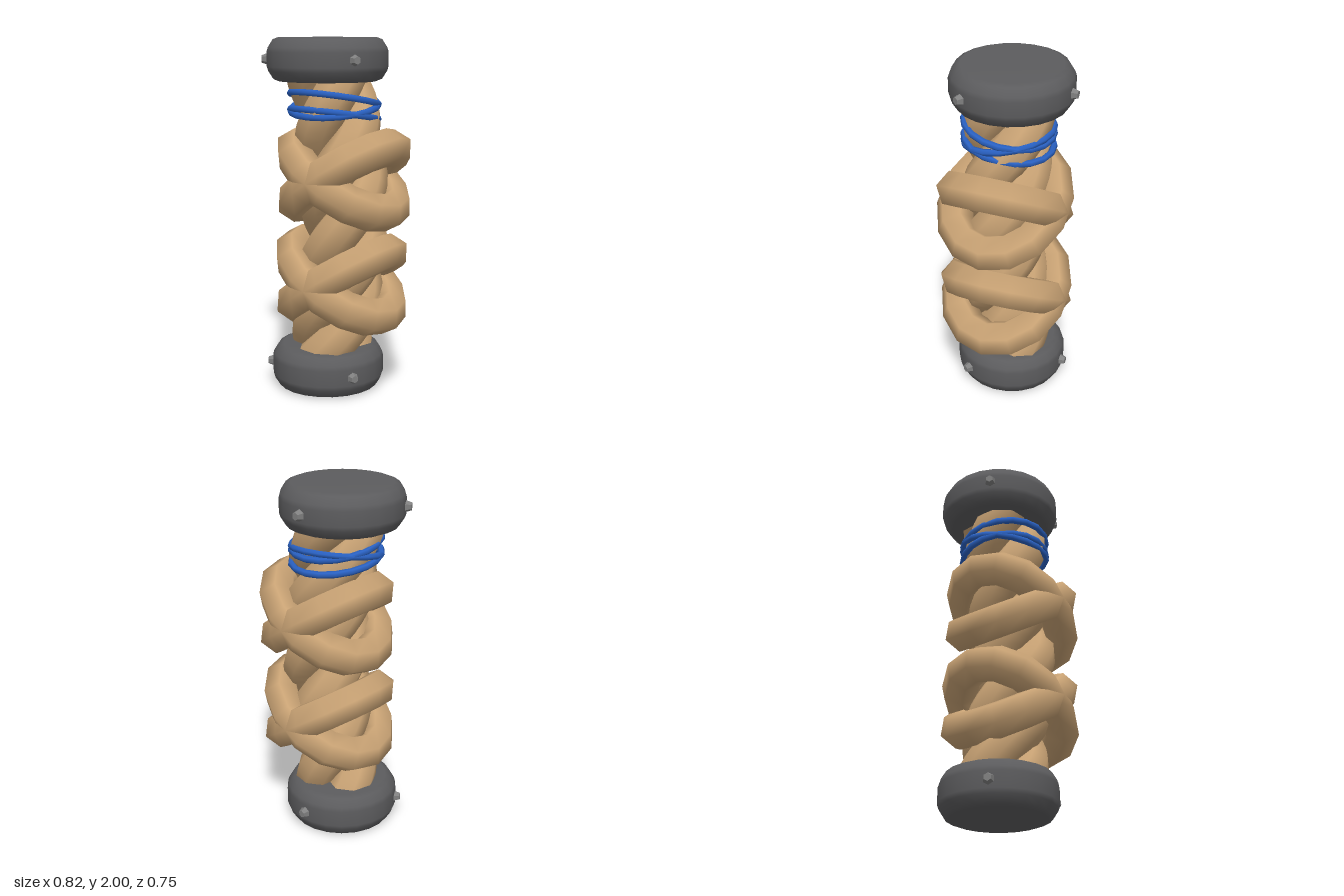
import * as THREE from 'three';

const mat = (color) => new THREE.MeshStandardMaterial({ color });
const rope = mat(0xc8a274), iron = mat(0x5c5c5e), steel = mat(0x808080), blue = mat(0x2a62c4);

// Gentle sideways bow of the whole bundle
const bow = (y) => -0.076 + 0.115 * Math.sin(Math.PI * (y - 0.12) / 1.76);

class Path extends THREE.Curve {
  constructor(fn) { super(); this.fn = fn; }
  getPoint(t, target = new THREE.Vector3()) { return target.set(...this.fn(t)); }
}

function add(parent, name, geometry, material) {
  const mesh = new THREE.Mesh(geometry, material);
  mesh.name = name;
  parent.add(mesh);
  return mesh;
}

// Rounded end cap with three bolts around its rim
function endCap(name, y, radius, height) {
  const cap = new THREE.Group();
  cap.name = name;
  cap.position.set(-0.075, y, 0);
  const h = height / 2, r = radius;
  const profile = [
    [0, -h], [r - 0.065, -h], [r - 0.035, -h + 0.012], [r - 0.008, -h + 0.055], [r, -h + 0.08],
    [r, h - 0.08], [r - 0.008, h - 0.055], [r - 0.035, h - 0.012], [r - 0.065, h], [0, h],
  ].map(([x, py]) => new THREE.Vector2(x, py));
  add(cap, name + 'Body', new THREE.LatheGeometry(profile, 22).rotateY(Math.PI / 2), iron);
  for (let i = 0; i < 3; i++) {
    const geo = new THREE.CylinderGeometry(0.021, 0.037, 0.045, 6).rotateX(Math.PI / 2);
    const flat = mat(0x808080);
    flat.flatShading = true;
    const bolt = add(cap, name + 'Bolt', geo, flat);
    const a = Math.PI + i * Math.PI * 2 / 3;
    bolt.rotation.y = a;
    bolt.position.set(Math.sin(a) * (r + 0.006), 0, Math.cos(a) * (r + 0.006));
  }
  return cap;
}

// Oval rope loop, tilted so that a mirrored pair crosses at front and back
function ropeLoop(parent, y, x, tilt) {
  const geo = new THREE.TorusGeometry(0.28, 0.105, 6, 14);
  const p = geo.attributes.position;
  for (let i = 0; i < p.count; i++) {
    const len = Math.hypot(p.getX(i), p.getY(i));
    p.setX(i, p.getX(i) + 0.053 * p.getX(i) / len);
  }
  geo.rotateX(Math.PI / 2).rotateZ(tilt);
  add(parent, 'crossingLoop', geo, rope).position.set(x, y, 0);
}

export function createModel() {
  const model = new THREE.Group();
  model.name = 'ropeBundle';

  model.add(endCap('bottomCap', 0.126, 0.322, 0.252));
  model.add(endCap('topCap', 1.88, 0.339, 0.24));

  // Three twisted strands forming the core
  const core = new THREE.Group();
  core.name = 'twistedCore';
  for (let i = 0; i < 3; i++) {
    const path = new Path((t) => {
      const y = 0.12 + 1.76 * t;
      const a = Math.PI / 6 + 6 * (y - 0.27) + i * Math.PI * 2 / 3;
      return [bow(y) + 0.127 * Math.sin(a), y, 0.127 * Math.cos(a)];
    });
    add(core, 'coreStrand', new THREE.TubeGeometry(path, 40, 0.125, 8, false), rope);
  }
  model.add(core);

  // Two pairs of crossing loops
  const loops = new THREE.Group();
  loops.name = 'crossingLoops';
  for (const [y, x] of [[0.642, 0.018], [1.232, 0.035]]) {
    for (const side of [-1, 1]) ropeLoop(loops, y, x, side * 0.57);
  }
  model.add(loops);

  // Thin cord wound around the neck, each turn leaning forward or back
  const binding = new THREE.Group();
  binding.name = 'neckBinding';
  for (const [y, lean] of [[1.663, 0.045], [1.617, -0.042], [1.578, 0.038]]) {
    const path = new Path((t) => {
      const a = t * Math.PI * 2;
      return [-0.03 + 0.248 * Math.sin(a), y + lean * Math.cos(a) - 0.008 * Math.sin(a), 0.243 * Math.cos(a)];
    });
    add(binding, 'bindingTurn', new THREE.TubeGeometry(path, 18, 0.019, 6, true), blue);
  }
  model.add(binding);

  return model;
}
